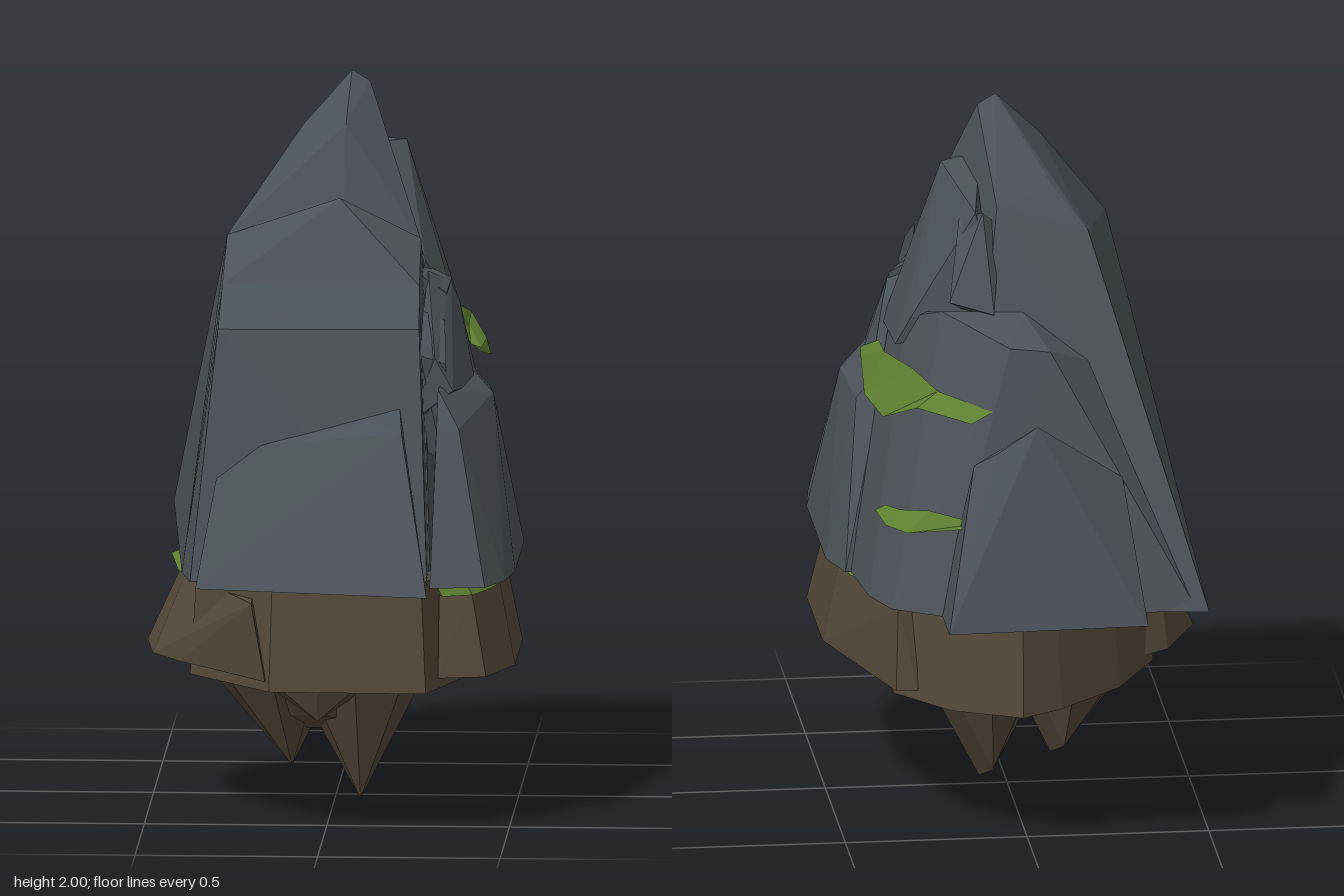
import * as THREE from 'three';
import { ConvexGeometry } from 'three/addons/geometries/ConvexGeometry.js';

export function createModel() {
  const group = new THREE.Group();
  const mat = (name, color, extra = {}) => {
    const m = new THREE.MeshStandardMaterial({ color, ...extra });
    m.name = name;
    return m;
  };
  const stone = mat('slate stone', 0x4b5257);
  const earth = mat('brown earth', 0x53483a);
  const moss = mat('green moss', 0x5e7f30, { side: THREE.DoubleSide });

  const add = (name, geometry, material) => {
    const mesh = new THREE.Mesh(geometry, material);
    mesh.name = name;
    group.add(mesh);
  };
  // A faceted chunk of rock wrapped around its corner points
  const chunk = (name, material, points) =>
    add(name, new ConvexGeometry(points.map(p => new THREE.Vector3(...p))), material);
  // A thin strip between pairs of upper and lower points
  const strip = (name, pairs) => {
    const index = [];
    for (let i = 0; i < pairs.length - 1; i++) {
      const a = 2 * i;
      index.push(a, a + 1, a + 2, a + 1, a + 3, a + 2);
    }
    const g = new THREE.BufferGeometry();
    g.setAttribute('position', new THREE.Float32BufferAttribute(pairs.flat(2), 3));
    g.setIndex(index);
    const flat = g.toNonIndexed();
    flat.computeVertexNormals();
    add(name, flat, moss);
  };

  // Main peak, with the broad face and bulging back edge on the -x side
  chunk('mainPeak', stone, [
    [-0.48, 0.69, -0.7], [-0.4, 0.69, 0.45], [0.28, 0.69, 0.45], [0.3, 0.69, -0.3],
    [0.2, 0.69, -0.62], [-0.29, 1.58, 0.17], [0.03, 1.6, 0.17], [0.24, 1.56, 0.13],
    [-0.09, 1.86, 0.01], [0.04, 2, -0.07], [0.09, 1.97, -0.07], [0.03, 1.87, 0.06],
    [0.06, 1.74, -0.29], [-0.1, 1.78, -0.24], [-0.19, 1.67, -0.3], [-0.3, 1.22, -0.4]]);

  // Front of the peak: a pointed shoulder above a steep lower face
  chunk('peakShoulder', stone, [
    [-0.29, 1.58, 0.17], [0.02, 1.69, 0.2], [0.24, 1.57, 0.14], [-0.295, 1.47, 0.33],
    [0.245, 1.47, 0.33], [-0.32, 1.2, 0.17], [0.26, 1.2, 0.14], [-0.3, 1.3, 0.4], [0.25, 1.3, 0.4]]);
  chunk('peakFront', stone, [
    [-0.295, 1.47, 0.33], [0.245, 1.47, 0.33], [-0.3, 1.37, 0.47], [0.25, 1.37, 0.45],
    [-0.37, 0.69, 0.6], [0.28, 0.69, 0.62], [-0.4, 0.69, 0.45], [0.27, 0.69, 0.2], [-0.36, 0.69, 0.2]]);

  // Front slab
  chunk('frontSlab', stone, [
    [-0.35, 0.69, 0.71], [0.29, 0.69, 0.83], [0.27, 0.69, 0.55], [-0.34, 0.69, 0.55],
    [-0.3, 0.97, 0.56], [-0.18, 1.06, 0.54], [0.11, 1.13, 0.55], [0.21, 1.11, 0.61],
    [0.2, 1.16, 0.5]]);

  // Shoulder on the +x side: a broad lower block and a steeper one above
  chunk('sideShoulderLower', stone, [
    [0.29, 0.69, 0.67], [0.44, 0.69, 0.65], [0.49, 0.69, 0.53], [0.51, 0.69, 0.38],
    [0.51, 0.69, -0.1], [0.47, 0.69, -0.23], [0.28, 0.69, -0.2], [0.44, 1.15, 0.18],
    [0.42, 1.13, -0.04], [0.36, 1.1, 0.48], [0.3, 1.1, 0.49], [0.36, 1.22, 0.1],
    [0.3, 1.2, 0.42], [0.34, 1.22, -0.04]]);
  chunk('sideShoulderUpper', stone, [
    [0.39, 1.17, 0.16], [0.38, 1.18, -0.03], [0.34, 1.19, 0.39], [0.34, 1.38, 0.03],
    [0.32, 1.44, 0.08], [0.26, 1.48, 0.14], [0.29, 1.28, 0.39], [0.24, 1.42, 0],
    [0.22, 1.1, 0.4], [0.22, 1.1, 0]]);
  // Loose blocks in the groove between peak and shoulder
  chunk('grooveBlockUpper', stone, [
    [0.22, 1.5, 0.08], [0.32, 1.45, 0.07], [0.31, 1.42, 0.14], [0.23, 1.48, 0.18],
    [0.22, 1.2, 0.08], [0.32, 1.2, 0.14]]);
  chunk('grooveBlockLower', stone, [
    [0.24, 1.39, 0.24], [0.31, 1.36, 0.24], [0.32, 1.26, 0.37], [0.25, 1.29, 0.4],
    [0.24, 1.0, 0.24], [0.31, 1.0, 0.38]]);

  // Buttress below the summit on the +x side, running down into the shoulder
  chunk('summitButtress', stone, [
    [0.08, 1.82, -0.04], [0.19, 1.81, -0.07], [0.14, 1.81, -0.03], [0.25, 1.5, 0.1],
    [0.29, 1.42, -0.24], [0.18, 1.68, -0.2], [0.12, 1.73, -0.3], [0.05, 1.42, -0.36],
    [0.2, 1.3, 0.1], [0.34, 1.33, 0.03], [0.33, 1.33, -0.2]]);
  chunk('summitShard', stone, [
    [0.1, 1.73, -0.3], [0.16, 1.7, -0.25], [0.2, 1.5, -0.38], [0.08, 1.47, -0.41],
    [0.05, 1.68, -0.27], [0.1, 1.4, -0.2]]);

  // Back face and slab
  chunk('backFace', stone, [
    [0.46, 0.69, -0.18], [0.43, 0.69, -0.45], [0.38, 0.69, -0.58], [0.25, 0.69, -0.66],
    [-0.45, 0.69, -0.69], [-0.2, 1.33, -0.42], [-0.06, 1.4, -0.54], [0.05, 1.41, -0.53],
    [0.22, 1.47, -0.36], [0.3, 1.4, -0.18], [0.32, 1.36, 0], [0, 1.47, -0.39],
    [0.2, 0.69, 0]]);
  chunk('backSlab', stone, [
    [-0.3, 0.69, -0.81], [0.25, 0.69, -0.83], [0.25, 0.69, -0.6], [-0.29, 0.69, -0.6],
    [-0.25, 1.06, -0.62], [-0.01, 1.23, -0.68], [0.1, 1.15, -0.66], [0.16, 1.11, -0.63],
    [0, 1.1, -0.52]]);

  // Earth layer under the stone
  const rim = [[-0.15, 0.68], [0.28, 0.69], [0.36, 0.45], [0.36, -0.42], [0.22, -0.6],
    [0.03, -0.69], [-0.08, -0.62], [-0.26, -0.44], [-0.38, -0.2], [-0.38, 0.4]];
  chunk('earthLayer', earth, rim.flatMap(([x, z]) =>
    [[x, 0.4, z], [x * 0.95, 0.7, z * 0.95]]));
  chunk('sideEarthLedge', earth, [
    [0.31, 0.43, 0.61], [0.44, 0.43, 0.58], [0.51, 0.43, 0.38], [0.51, 0.43, -0.02],
    [0.43, 0.43, -0.24], [0.36, 0.43, -0.5], [0.3, 0.43, -0.5], [0.31, 0.65, 0.55],
    [0.4, 0.65, 0.54], [0.465, 0.65, 0.33], [0.465, 0.65, -0.02], [0.4, 0.65, -0.22],
    [0.35, 0.65, -0.46], [0.3, 0.65, -0.44]]);
  chunk('oppositeEarthLedge', earth, [
    [-0.515, 0.43, 0.02], [-0.49, 0.43, 0.24], [-0.41, 0.43, 0.37], [-0.16, 0.43, 0.69],
    [-0.16, 0.43, -0.4], [-0.42, 0.43, -0.2], [-0.42, 0.64, 0.03], [-0.4, 0.65, 0.22],
    [-0.2, 0.64, 0.65], [-0.2, 0.66, -0.3], [-0.4, 0.65, -0.14]]);

  // Hanging spikes of earth: tip, then base centre and radii
  const spikes = [
    [[0.07, 0, 0.07], [0.06, 0.03], 0.22, 0.21],
    [[-0.12, 0.08, 0.01], [-0.18, 0.01], 0.22, 0.2],
    [[-0.04, 0.24, 0.22], [-0.04, 0.12], 0.27, 0.17],
    [[0.08, 0.25, -0.16], [0.03, -0.12], 0.21, 0.14]];
  spikes.forEach(([[x, y, z], [cx, cz], rx, rz], i) => {
    const points = [[x, y, z], [x - 0.03, y + 0.04, z - 0.08]];
    for (let k = 0; k < 8; k++) {
      const a = k / 8 * Math.PI * 2;
      points.push([cx + Math.cos(a) * rx, 0.41, cz + Math.sin(a) * rz]);
    }
    chunk('hangingSpike' + (i + 1), earth, points);
  });
  // Web of earth filling the gap between the two long spikes
  chunk('spikeWeb', earth, [
    [-0.07, 0.19, 0.04], [-0.2, 0.22, 0.01], [0.14, 0.2, 0.05], [-0.04, 0.25, 0.18],
    [0.06, 0.26, -0.1], [-0.3, 0.41, 0.08], [-0.28, 0.41, -0.1], [0.23, 0.41, 0.1],
    [0.18, 0.41, -0.12], [-0.04, 0.41, 0.24]]);

  // Moss on the rock ledges
  strip('upperMoss', [
    [[0.37, 1.26, 0.04], [0.4, 1.25, 0.04]], [[0.36, 1.3, -0.06], [0.41, 1.26, -0.06]],
    [[0.36, 1.31, -0.2], [0.415, 1.19, -0.2]], [[0.3, 1.31, -0.36], [0.38, 1.17, -0.35]],
    [[0.24, 1.27, -0.45], [0.3, 1.23, -0.47]], [[0.1, 1.24, -0.56], [0.16, 1.21, -0.57]]]);
  strip('lowerMoss', [
    [[0.38, 0.94, -0.42], [0.41, 0.93, -0.43]], [[0.35, 0.95, -0.5], [0.39, 0.91, -0.51]],
    [[0.28, 0.97, -0.58], [0.34, 0.91, -0.59]], [[0.15, 0.95, -0.65], [0.2, 0.94, -0.67]]]);

  // Moss where the earth meets the stone
  strip('earthMossFront', [
    [[0.3, 0.69, 0.57], [0.32, 0.652, 0.58]], [[0.38, 0.69, 0.54], [0.4, 0.652, 0.55]],
    [[0.42, 0.69, 0.44], [0.44, 0.652, 0.46]], [[0.44, 0.69, 0.32], [0.47, 0.652, 0.34]],
    [[0.38, 0.69, 0.28], [0.4, 0.66, 0.28]]]);
  strip('earthMossBack', [
    [[0.44, 0.69, 0], [0.47, 0.67, 0]], [[0.42, 0.69, -0.14], [0.45, 0.655, -0.14]],
    [[0.38, 0.69, -0.3], [0.41, 0.67, -0.28]]]);
  strip('earthMossOpposite', [
    [[-0.38, 0.69, -0.14], [-0.42, 0.66, -0.12]], [[-0.4, 0.69, 0.03], [-0.45, 0.67, 0.02]],
    [[-0.37, 0.69, 0.25], [-0.42, 0.66, 0.24]], [[-0.28, 0.69, 0.52], [-0.33, 0.66, 0.48]]]);

  return group;
}
